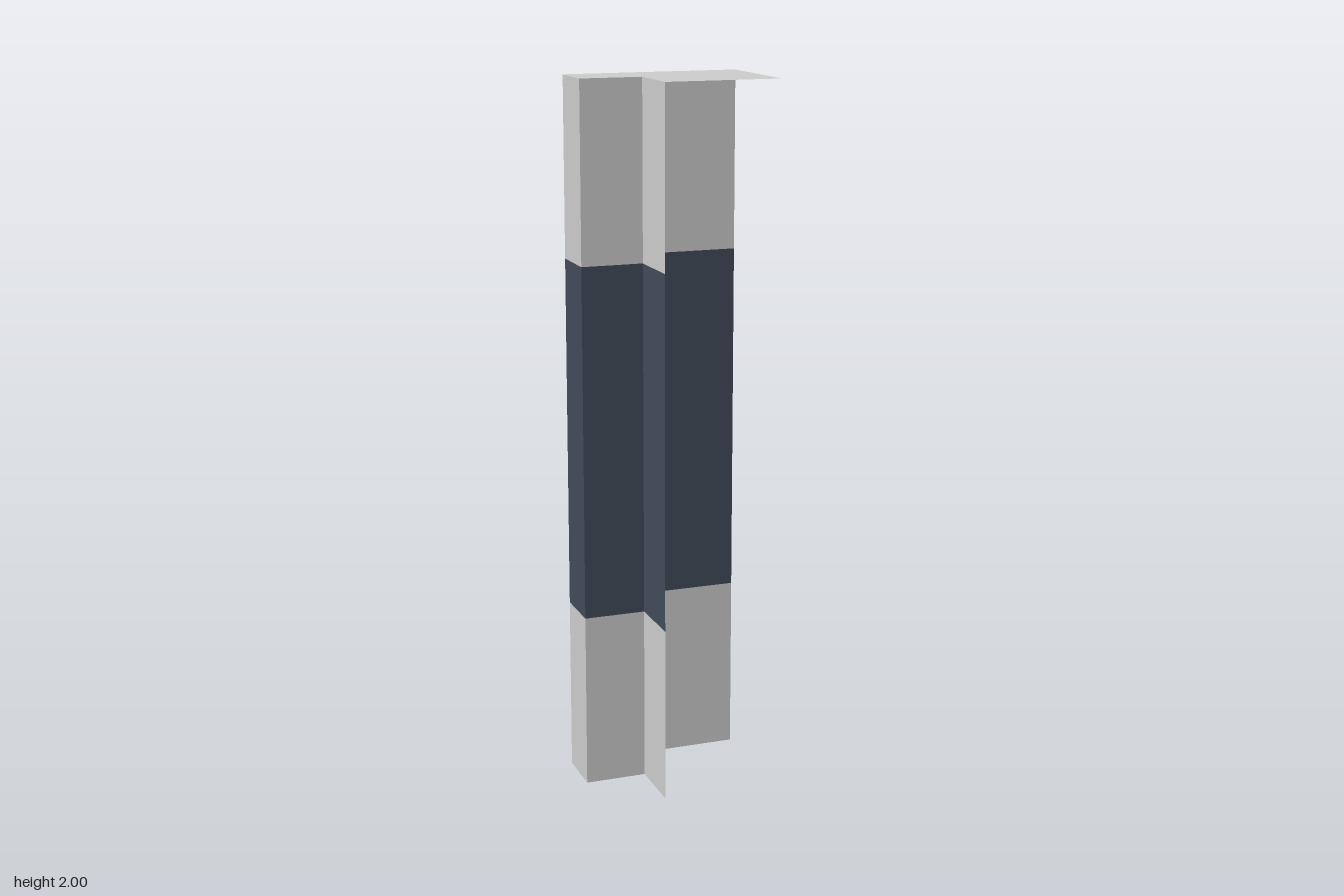
import * as THREE from 'three';

export function createModel() {
  const model = new THREE.Group();
  const grey = new THREE.MeshStandardMaterial({ color: 0xcccccc, side: THREE.DoubleSide });
  const navy = new THREE.MeshStandardMaterial({ color: 0x414a59, side: THREE.DoubleSide });

  // L-shaped plan as [x, z]; walls stand on the first five corners only,
  // leaving the front, the +x side and the underside open
  const plan = [[0.25, -0.163], [-0.25, -0.163], [-0.25, -0.015], [-0.075, -0.015], [-0.075, 0.162], [0.25, 0.162]];
  const wallNames = ['backWall', 'sideWall', 'stepWall', 'returnWall'];

  // Horizontal bands of each wall: [bottom, top, material, name]
  const bands = [
    [0, 0.5, grey, 'LowerBand'],
    [0.5, 1.5, navy, 'MiddleBand'],
    [1.5, 2, grey, 'UpperBand'],
  ];

  wallNames.forEach((name, i) => {
    const [x0, z0] = plan[i];
    const [x1, z1] = plan[i + 1];
    const wall = new THREE.Group();
    wall.name = name;
    wall.position.set((x0 + x1) / 2, 0, (z0 + z1) / 2);
    wall.rotation.y = Math.atan2(z0 - z1, x1 - x0);
    for (const [bottom, top, material, band] of bands) {
      const panel = new THREE.Mesh(
        new THREE.PlaneGeometry(Math.hypot(x1 - x0, z1 - z0), top - bottom), material);
      panel.position.y = (bottom + top) / 2;
      panel.name = name + band;
      wall.add(panel);
    }
    model.add(wall);
  });

  // Flat cap covering the whole plan
  const outline = new THREE.Shape(plan.map(([x, z]) => new THREE.Vector2(x, -z)));
  const cap = new THREE.Mesh(new THREE.ShapeGeometry(outline).rotateX(-Math.PI / 2), grey);
  cap.position.y = 2;
  cap.name = 'topCap';
  model.add(cap);

  return model;
}
